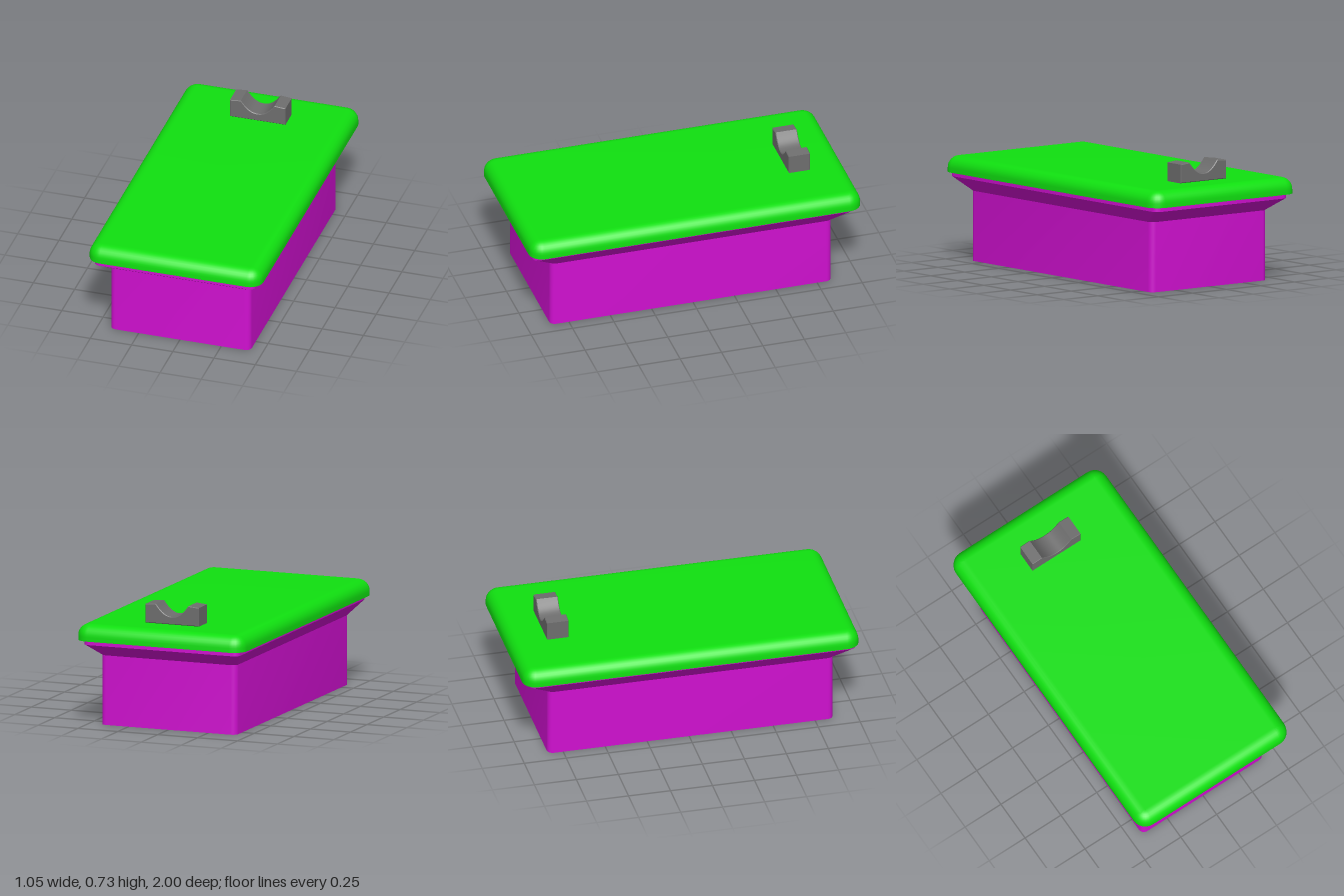
import * as THREE from 'three';
import { toCreasedNormals } from 'three/addons/utils/BufferGeometryUtils.js';

const CORNER_STEPS = 6;

// Rounded rectangle of points at height y
function ring(hx, hz, r, y, cz = 0) {
  const pts = [];
  for (let q = 0; q < 4; q++) {
    const sx = q === 0 || q === 3 ? 1 : -1;
    const sz = q < 2 ? 1 : -1;
    for (let i = 0; i <= CORNER_STEPS; i++) {
      const t = (q + i / CORNER_STEPS) * Math.PI / 2;
      pts.push([sx * (hx - r) + r * Math.cos(t), y, cz + sz * (hz - r) + r * Math.sin(t)]);
    }
  }
  return pts;
}

// Skin over a stack of rings, bottom to top, optionally closed at both ends
function loft(rings, capped, crease) {
  const n = rings[0].length;
  const position = rings.flat(2);
  const index = [];
  for (let j = 0; j < rings.length - 1; j++) {
    for (let k = 0; k < n; k++) {
      const a = j * n + k, b = j * n + (k + 1) % n;
      index.push(a, a + n, b, b, a + n, b + n);
    }
  }
  if (capped) {
    const top = (rings.length - 1) * n;
    for (let k = 1; k < n - 1; k++) {
      index.push(0, k, k + 1);
      index.push(top, top + k + 1, top + k);
    }
  }
  const geo = new THREE.BufferGeometry();
  geo.setAttribute('position', new THREE.Float32BufferAttribute(position, 3));
  geo.setIndex(index);
  return toCreasedNormals(geo, crease);
}

function addMesh(group, name, geometry, color, side = THREE.FrontSide) {
  const mesh = new THREE.Mesh(geometry, new THREE.MeshStandardMaterial({ color, side }));
  mesh.name = name;
  group.add(mesh);
}

export function createModel() {
  const model = new THREE.Group();
  model.name = 'liddedBox';

  // Lid: flat underside, short upright edge, rounded shoulder, flat top
  const bottom = 0.515, top = 0.61, round = 0.07, corner = 0.08;
  const inset = (d, y) => ring(0.525 - d, 1 - d, corner - d, y);
  const lidRings = [inset(0, bottom)];
  for (let i = 0; i <= 8; i++) {
    const t = i / 8 * Math.PI / 2;
    lidRings.push(inset(round * (1 - Math.cos(t)), top - round * (1 - Math.sin(t))));
  }
  lidRings.push(inset(round + 0.006, top));
  addMesh(model, 'lid', loft(lidRings, true, 0.6), 0x10e010);

  // Box: thin open-bottomed walls flaring out to a rim under the lid
  const boxRings = [
    ring(0.425, 0.85, 0.035, 0, 0.01),
    ring(0.425, 0.85, 0.035, 0.41, 0.01),
    ring(0.486, 0.97, 0.035, 0.487, 0.01),
    ring(0.486, 0.97, 0.035, bottom, 0.01),
  ];
  addMesh(model, 'boxWalls', loft(boxRings, false, 0.5), 0xd010d0, THREE.DoubleSide);

  // Cradle: small block with a curved notch, standing near the back of the lid
  const bevel = 0.004;
  const profile = new THREE.Shape();
  profile.moveTo(-0.164, 0.004);
  profile.lineTo(0.164, 0.004);
  profile.lineTo(0.164, 0.106);
  profile.lineTo(0.104, 0.112);
  profile.bezierCurveTo(0.07, 0.065, 0.04, 0.041, 0, 0.041);
  profile.bezierCurveTo(-0.04, 0.041, -0.07, 0.065, -0.104, 0.112);
  profile.lineTo(-0.164, 0.106);
  profile.closePath();
  const cradle = new THREE.ExtrudeGeometry(profile, {
    depth: 0.13 - 2 * bevel, curveSegments: 8,
    bevelEnabled: true, bevelThickness: bevel, bevelSize: bevel, bevelSegments: 1,
  });
  cradle.translate(0, top, -0.785 + bevel);
  addMesh(model, 'cradle', toCreasedNormals(cradle, 0.4), 0x6e6e6e);

  return model;
}
